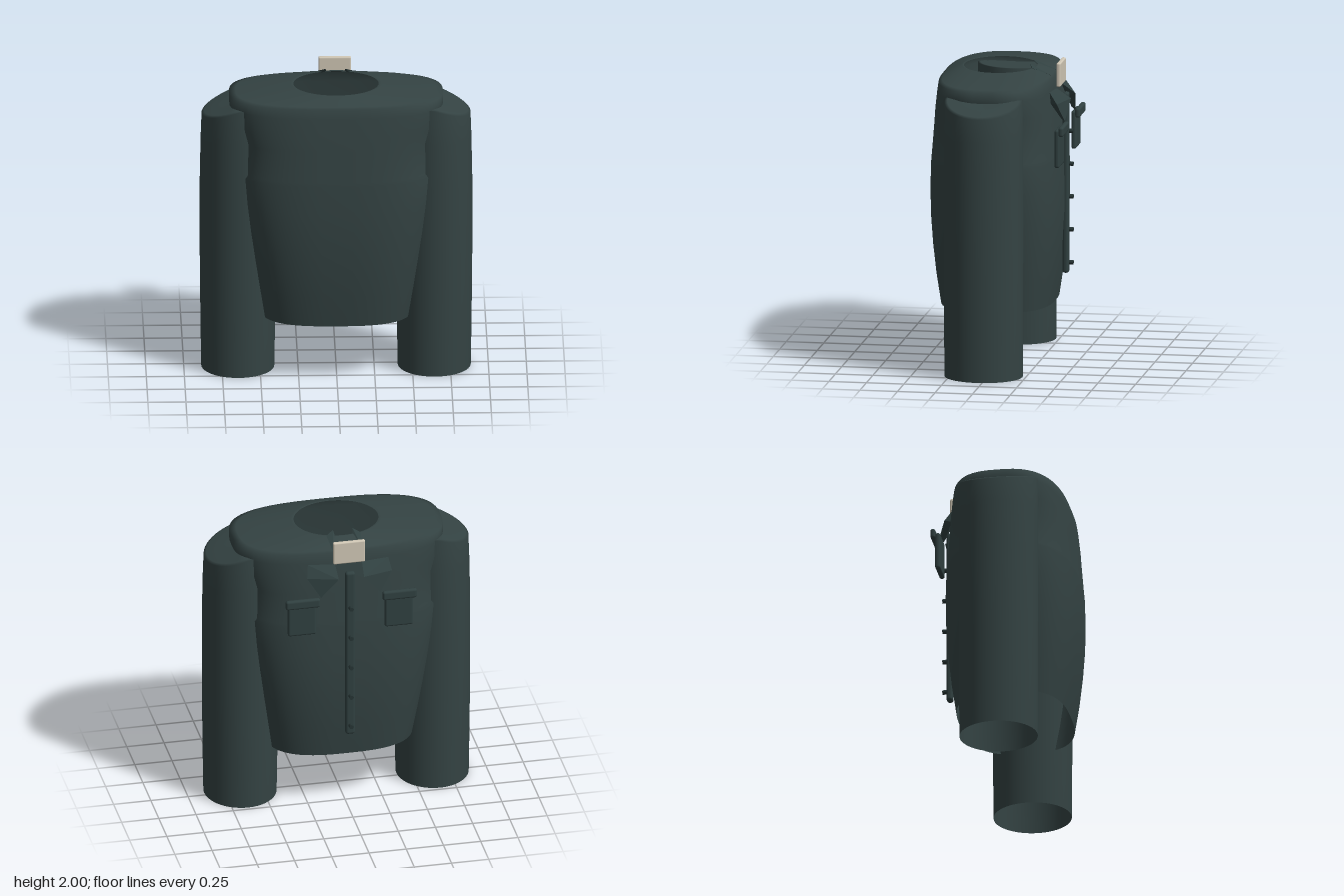
import * as THREE from 'three';
import { RoundedBoxGeometry } from 'three/addons/geometries/RoundedBoxGeometry.js';
import { ConvexGeometry } from 'three/addons/geometries/ConvexGeometry.js';

const ZC = 0.03; // depth of the garment's middle

function material(name, color) {
  const m = new THREE.MeshStandardMaterial({ color });
  m.name = name;
  return m;
}

// Skin closed rings from bottom to top; ring(i) returns a function of the angle
function loft(rings, segments) {
  const pos = [], idx = [];
  for (const ring of rings)
    for (let j = 0; j < segments; j++) pos.push(...ring((j / segments) * Math.PI * 2));
  for (let i = 0; i < rings.length - 1; i++)
    for (let j = 0; j < segments; j++) {
      const k = (j + 1) % segments;
      const a = i * segments + j, b = i * segments + k;
      const c = a + segments, d = b + segments;
      idx.push(a, c, b, b, c, d);
    }
  const g = new THREE.BufferGeometry();
  g.setAttribute('position', new THREE.Float32BufferAttribute(pos, 3));
  g.setIndex(idx);
  g.computeVertexNormals();
  return g;
}

// Rounded-rectangle ring: half width a, half depth b, exponent n
const superEllipse = (y, a, b, n) => (t) => {
  const c = Math.cos(t), s = Math.sin(t);
  return [
    a * Math.sign(c) * Math.abs(c) ** (2 / n),
    y,
    ZC + b * Math.sign(s) * Math.abs(s) ** (2 / n),
  ];
};

export function createModel() {
  const group = new THREE.Group();
  group.name = 'jacket';
  const cloth = material('dark green cloth', 0x344343);
  cloth.side = THREE.DoubleSide;
  const trim = material('green trim', 0x304040);
  const buttonMat = material('dark buttons', 0x263434);
  const cream = material('cream tag', 0xd0c7b5);

  const add = (name, geometry, mat, x = 0, y = 0, z = 0) => {
    const mesh = new THREE.Mesh(geometry, mat);
    mesh.name = name;
    mesh.position.set(x, y, z);
    group.add(mesh);
    return mesh;
  };

  // Body: hem, waist, chest, shoulders and open neck
  const body = [
    [0.395, 0.495, 0.37, 2.8], [0.6, 0.535, 0.4, 2.8], [0.8, 0.572, 0.42, 2.8],
    [1.0, 0.608, 0.432, 2.8], [1.2, 0.64, 0.433, 2.8], [1.385, 0.663, 0.425, 2.8],
    [1.41, 0.642, 0.423, 2.8], [1.62, 0.645, 0.405, 2.8], [1.72, 0.685, 0.395, 2.8],
    [1.84, 0.702, 0.38, 2.8], [1.905, 0.702, 0.37, 2.8], [1.915, 0.66, 0.352, 2.7],
    [1.935, 0.5, 0.31, 2.4], [1.96, 0.3, 0.25, 2], [1.957, 0.28, 0.238, 2],
  ];
  add('body', loft(body.map((r) => superEllipse(...r)), 72), cloth);

  // Sleeves: open tubes with a sloping shoulder cap
  const tube = [
    [0, 0.645, 0.24, 0.258], [0.3, 0.645, 0.245, 0.26], [0.8, 0.648, 0.247, 0.261],
    [1.3, 0.648, 0.247, 0.261], [1.6, 0.646, 0.243, 0.26],
  ];
  for (const side of [1, -1]) {
    const rings = tube.map(([y, cx, rx, rz]) => (t) =>
      [side * cx + rx * Math.cos(t), y, ZC + rz * Math.sin(t)]);
    for (const s of [1, 0.93, 0.5, 0.001])
      rings.push((t) => {
        const x = side * 0.643 + 0.24 * s * Math.cos(t);
        const y = 1.76 + (0.885 - side * x) * 0.36 + (s < 1 ? 0.008 : 0);
        return [x, Math.min(y, 1.85), ZC + 0.258 * s * Math.sin(t)];
      });
    add(side > 0 ? 'leftSleeve' : 'rightSleeve', loft(rings, 48), cloth);
  }

  // Button band and buttons
  add('buttonBand', new RoundedBoxGeometry(0.065, 1.21, 0.042, 3, 0.018), trim, 0, 1.185, -0.408);
  for (let i = 0; i < 5; i++) {
    const b = add('button', new THREE.CylinderGeometry(0.015, 0.015, 0.03, 16), buttonMat, 0, 0.65 + i * 0.22, -0.442);
    b.rotation.x = Math.PI / 2;
  }

  // Collar flaps and chest pockets
  for (const side of [1, -1]) {
    const hull = (pts) => new ConvexGeometry(pts.map(([x, y, z]) => new THREE.Vector3(side * x, y, z)));
    add('collarFlap', hull([
      [0.085, 1.765, -0.455], [0.09, 1.83, -0.36], [0.27, 1.835, -0.345], [0.285, 1.76, -0.395],
      [0.2, 1.63, -0.435], [0.1, 1.75, -0.42], [0.2, 1.65, -0.41], [0.26, 1.76, -0.35],
    ]), trim);
    add('collarTip', hull([
      [0.06, 1.962, -0.205], [0.115, 1.962, -0.205], [0.065, 1.985, -0.175],
      [0.1, 1.915, -0.33], [0.09, 1.95, -0.2],
    ]), trim);
    add('pocket', new RoundedBoxGeometry(0.19, 0.255, 0.034, 3, 0.015), trim, side * 0.325, 1.487, -0.418);
    add('pocketFlap', new RoundedBoxGeometry(0.23, 0.065, 0.034, 3, 0.015), trim, side * 0.325, 1.605, -0.447);
  }

  // Tag standing behind the neck opening
  add('tag', new RoundedBoxGeometry(0.215, 0.16, 0.028, 3, 0.01), cream, 0, 1.92, -0.375);
  return group;
}
